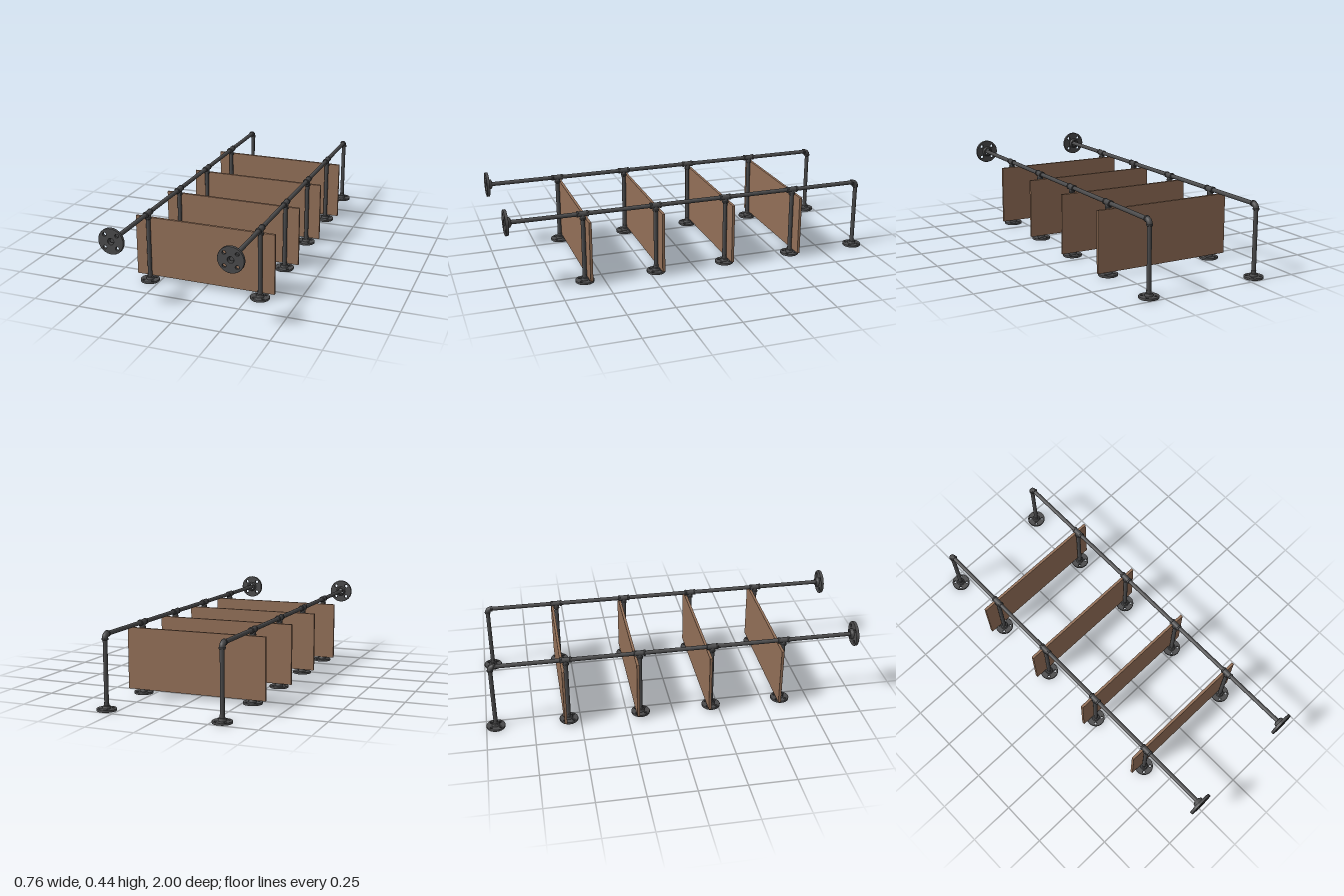
import * as THREE from 'three';
import { toCreasedNormals } from 'three/addons/utils/BufferGeometryUtils.js';

const RAIL_X = [-0.302, 0.307];
const POST_Z = [0.601, 0.213, -0.175, -0.563];
const END_Z = -0.95, RAIL_Y = 0.375, PIPE_R = 0.0112;

export function createModel() {
  const iron = new THREE.MeshStandardMaterial({ color: 0x4a4a4b });
  iron.name = 'dark iron';
  const wood = new THREE.MeshStandardMaterial({ color: 0x926f57 });
  wood.name = 'brown wood';

  const model = new THREE.Group();
  model.name = 'pipeShelf';

  const mesh = (name, geometry, material = iron) => {
    const m = new THREE.Mesh(geometry, material);
    m.name = name;
    return m;
  };
  const lathe = (points) => toCreasedNormals(
    new THREE.LatheGeometry(points.map(([r, y]) => new THREE.Vector2(r, y)), 28), 0.6);

  // Round plate with four screw holes and a central bore
  const plateShape = new THREE.Shape().absarc(0, 0, 0.049, 0, Math.PI * 2, false);
  const addHole = (x, y, r) =>
    plateShape.holes.push(new THREE.Path().absarc(x, y, r, 0, Math.PI * 2, true));
  addHole(0, 0, 0.0125);
  for (const sx of [-1, 1]) for (const sy of [-1, 1]) addHole(sx * 0.0243, sy * 0.0243, 0.0075);
  const plateGeo = toCreasedNormals(new THREE.ExtrudeGeometry(plateShape, {
    depth: 0.008, bevelEnabled: true, bevelThickness: 0.0015, bevelSize: 0.001,
    bevelSegments: 1, curveSegments: 20,
  }).translate(0, 0, 0.0015).rotateX(-Math.PI / 2), 0.5);

  // Stepped hub standing on the plate, open in the middle
  const hubGeo = lathe([[0.0125, 0], [0.022, 0.006], [0.0205, 0.019], [0.018, 0.023],
    [0.0135, 0.024], [0.0135, 0.026], [0.0125, 0.026], [0.0125, 0]]);

  const flange = (name) => {
    const g = new THREE.Group();
    g.name = name;
    g.add(mesh('flangePlate', plateGeo), mesh('flangeHub', hubGeo));
    return g;
  };

  // Rim around the mouth of a fitting, centred on its own axis
  const rimGeo = lathe([[0.0105, -0.005], [0.0145, -0.005], [0.0165, -0.003],
    [0.0165, 0.004], [0.0155, 0.005], [0.0105, 0.005]]);
  const sleeveGeo = new THREE.CylinderGeometry(0.0145, 0.0145, 0.056, 28);
  const branchGeo = new THREE.CylinderGeometry(0.0145, 0.0145, 0.026, 28);
  const elbowGeo = new THREE.TorusGeometry(0.021, 0.0145, 20, 16, Math.PI / 2)
    .rotateY(Math.PI / 2);
  const threadGeo = new THREE.CylinderGeometry(0.0125, 0.0125, 0.016, 28);

  const rim = (y, z, alongZ) => {
    const m = mesh('fittingRim', rimGeo);
    m.position.set(0, y, z);
    if (alongZ) m.rotation.x = Math.PI / 2;
    return m;
  };

  // T-shaped fitting joining a post to the rail
  const tee = () => {
    const g = new THREE.Group();
    g.name = 'teeFitting';
    const sleeve = mesh('teeSleeve', sleeveGeo);
    sleeve.rotation.x = Math.PI / 2;
    const branch = mesh('teeBranch', branchGeo);
    branch.position.y = -0.015;
    g.add(sleeve, branch, rim(0, 0.026, true), rim(0, -0.026, true), rim(-0.026, 0, false));
    return g;
  };

  // Quarter-turn fitting at the back end
  const elbow = () => {
    const g = new THREE.Group();
    g.name = 'elbowFitting';
    const bend = mesh('elbowBend', elbowGeo);
    bend.position.set(0, -0.021, 0.021);
    g.add(bend, rim(0, 0.023, true), rim(-0.023, 0, false));
    return g;
  };

  // Post with foot flange and threaded end
  const postTop = RAIL_Y - 0.02;
  const postGeo = new THREE.CylinderGeometry(PIPE_R, PIPE_R, postTop - 0.003, 28)
    .translate(0, (postTop + 0.003) / 2, 0);
  const post = () => {
    const g = new THREE.Group();
    g.name = 'post';
    const thread = mesh('postThread', threadGeo);
    thread.position.y = 0.032;
    g.add(mesh('postPipe', postGeo), thread, flange('footFlange'));
    return g;
  };

  // Two rail assemblies
  const railStart = END_Z + 0.02, railEnd = 0.985;
  const railGeo = new THREE.CylinderGeometry(PIPE_R, PIPE_R, railEnd - railStart, 28)
    .rotateX(Math.PI / 2).translate(0, RAIL_Y, (railEnd + railStart) / 2);
  for (const x of RAIL_X) {
    const side = new THREE.Group();
    side.name = x > 0 ? 'leftFrame' : 'rightFrame';
    side.position.x = x;
    side.add(mesh('rail', railGeo));

    const wall = flange('wallFlange');
    wall.scale.setScalar(1.34);
    wall.rotation.x = -Math.PI / 2;
    wall.position.set(0, RAIL_Y, 1);
    side.add(wall);

    for (const z of [...POST_Z, END_Z]) {
      const p = post();
      p.position.z = z;
      const joint = z === END_Z ? elbow() : tee();
      joint.position.set(0, RAIL_Y, z);
      side.add(p, joint);
    }
    model.add(side);
  }

  // Boards fixed behind each pair of posts
  const boardGeo = new THREE.BoxGeometry(0.758, 0.323, 0.014);
  for (const z of POST_Z) {
    const board = mesh('board', boardGeo, wood);
    board.position.set(0, 0.1865, z - 0.021);
    model.add(board);
  }
  return model;
}
